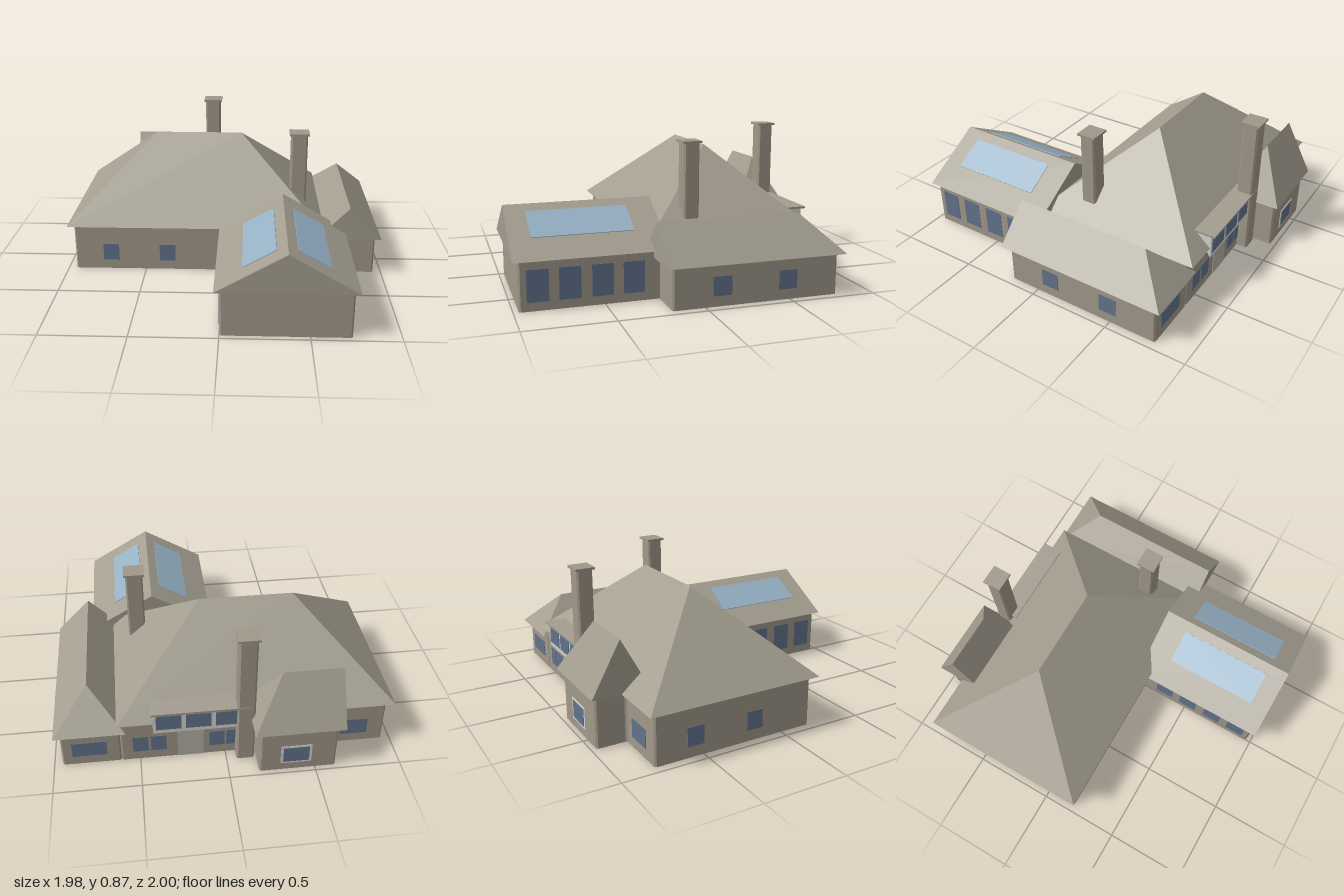
import * as THREE from 'three';

const mat = (name, color, side = THREE.FrontSide) => {
  const m = new THREE.MeshStandardMaterial({ color, side });
  m.name = name;
  return m;
};

// Flat-shaded geometry from triangles and quads given as corner arrays
function faceted(faces) {
  const pos = [];
  for (const f of faces)
    for (let i = 1; i < f.length - 1; i++) pos.push(...f[0], ...f[i], ...f[i + 1]);
  const g = new THREE.BufferGeometry();
  g.setAttribute('position', new THREE.Float32BufferAttribute(pos, 3));
  g.computeVertexNormals();
  return g;
}

// Upright walls along a plan line of [x, z] points, with slightly cut corners
function wallRun(points, y0, y1, closed = false, cut = 0.01) {
  const n = points.length, line = [];
  points.forEach((p, i) => {
    if (!closed && (i === 0 || i === n - 1)) return line.push(p);
    for (const q of [points[(i + n - 1) % n], points[(i + 1) % n]]) {
      const dx = q[0] - p[0], dz = q[1] - p[1], k = cut / Math.hypot(dx, dz);
      line.push([p[0] + dx * k, p[1] + dz * k]);
    }
  });
  if (closed) line.push(line[0]);
  const faces = [];
  for (let i = 0; i < line.length - 1; i++) {
    const [a, b] = [line[i], line[i + 1]];
    faces.push([[a[0], y0, a[1]], [b[0], y0, b[1]], [b[0], y1, b[1]], [a[0], y1, a[1]]]);
  }
  return faceted(faces);
}

const rect = (x0, x1, z0, z1) => [[x0, z1], [x1, z1], [x1, z0], [x0, z0]];

// Closed hip or gable roof; the ridge runs from a to b along the given axis
function roofSolid(x0, x1, z0, z1, y, top, axis, a, b) {
  const c0 = [x0, y, z0], c1 = [x1, y, z0], c2 = [x1, y, z1], c3 = [x0, y, z1];
  const under = [c0, c1, c2, c3];
  if (axis === 'x') {
    const m = (z0 + z1) / 2, A = [a, top, m], B = [b, top, m];
    return faceted([[c3, c2, B, A], [c2, c1, B], [c1, c0, A, B], [c0, c3, A], under]);
  }
  const m = (x0 + x1) / 2, A = [m, top, a], B = [m, top, b];
  return faceted([[c2, c1, A, B], [c1, c0, A], [c0, c3, B, A], [c3, c2, B], under]);
}

export function createModel() {
  const group = new THREE.Group();
  const wall = mat('wall stone', 0xa09889, THREE.DoubleSide);
  const roof = mat('roof taupe', 0xa39d8f);
  const glass = mat('window blue', 0x62738c);
  const sky = mat('skylight blue', 0x95b0c4);
  const white = mat('frame white', 0xd6d5d0);
  const doorGrey = mat('door grey', 0xb5b1aa);

  const add = (name, geo, material) => {
    const m = new THREE.Mesh(geo, material);
    m.name = name;
    group.add(m);
    return m;
  };
  const box = (name, material, w, h, d, x, y, z) => {
    const m = add(name, new THREE.BoxGeometry(w, h, d), material);
    m.position.set(x, y, z);
    return m;
  };
  // Thin plates on walls: facing z or facing x
  const plateZ = (name, material, x, y, z, w, h, t = 0.006) => box(name, material, w, h, t, x, y, z);
  const plateX = (name, material, x, y, z, w, h, t = 0.006) => box(name, material, t, h, w, x, y, z);

  // Walls, open at the bottom
  add('mainWalls', wallRun([[0, 0.19], [-0.95, 0.19], [-0.95, -0.79], [-0.62, -0.79], [-0.62, -0.97],
    [-0.175, -0.97], [-0.175, -0.79], [0.61, -0.79], [0.61, 0.19]], 0, 0.3), wall);
  add('frontWingWalls', wallRun([[0, 0.19], [0, 0.97], [0.73, 0.97], [0.73, 0.19]], 0, 0.28), wall);
  add('sideWingWalls', wallRun(rect(0.61, 0.95, -0.79, 0.19), 0, 0.24, true), wall);

  // Roofs
  add('mainRoof', roofSolid(-0.99, 0.625, -0.83, 0.225, 0.3, 0.77, 'x', -0.46, 0.1), roof);
  add('frontWingRoof', roofSolid(-0.03, 0.76, 0.14, 1.0, 0.28, 0.51, 'z', 0.14, 1.0), roof);
  add('sideWingRoof', roofSolid(0.575, 0.985, -0.83, 0.225, 0.24, 0.45, 'z', -0.62, 0.225), roof);
  add('rearWingRoof', roofSolid(-0.655, -0.14, -1.0, -0.66, 0.3, 0.61, 'x', -0.655, -0.31), roof);

  // Chimneys with flat caps
  for (const [x, z, y0, y1] of [[0.47, -0.07, 0.3, 0.835], [-0.11, -0.81, 0, 0.86]]) {
    add('chimneyShaft', wallRun(rect(x - 0.052, x + 0.052, z - 0.048, z + 0.048), y0, y1, true), wall);
    box('chimneyCap', wall, 0.124, 0.013, 0.116, x, y1 + 0.0065, z);
  }

  // Long rear dormer: wedge body, flat roof and three windows
  const [dx0, dx1] = [-0.1, 0.42];
  const L = [[dx0, 0.385, -0.835], [dx0, 0.235, -0.835], [dx0, 0.385, -0.735]];
  const R = L.map(([, y, z]) => [dx1, y, z]);
  add('dormerBody', faceted([[L[0], L[1], L[2]], [R[0], R[2], R[1]],
    [L[1], L[0], R[0], R[1]], [L[2], L[1], R[1], R[2]], [L[0], L[2], R[2], R[0]]]), white);
  box('dormerRoof', roof, 0.565, 0.012, 0.13, 0.147, 0.391, -0.795);
  for (const x of [-0.01, 0.16, 0.33]) plateZ('dormerWindow', glass, x, 0.312, -0.836, 0.145, 0.1);

  // Front and left windows of the main house
  for (const x of [-0.72, -0.36]) plateZ('frontWindow', glass, x, 0.115, 0.19, 0.1, 0.11);
  for (const z of [-0.55, -0.18]) plateX('leftWindow', glass, -0.95, 0.12, z, 0.1, 0.11);

  // Rear windows and door
  for (const x of [0.495, 0.39, 0.05, -0.05]) plateZ('rearWindow', glass, x, 0.115, -0.79, 0.09, 0.11);
  plateZ('rearDoor', doorGrey, 0.205, 0.11, -0.79, 0.15, 0.22);
  plateZ('rearLeftWindow', glass, -0.77, 0.115, -0.79, 0.16, 0.11);
  plateZ('rearWingFrame', white, -0.385, 0.115, -0.97, 0.18, 0.13);
  plateZ('rearWingWindow', glass, -0.385, 0.115, -0.972, 0.15, 0.105);

  // Side wing windows
  plateZ('sideWingRearWindow', glass, 0.79, 0.11, -0.79, 0.2, 0.1);
  for (const z of [-0.095, -0.485]) plateX('sideWingWindow', glass, 0.95, 0.115, z, 0.11, 0.11);

  // Tall windows on both sides of the front wing
  for (const z of [0.8675, 0.6925, 0.5125, 0.3375])
    for (const x of [0, 0.73]) plateX('tallWindow', glass, x, 0.14, z, 0.12, 0.18);

  // Skylights lying on the two front wing slopes
  const slope = Math.atan2(0.23, 0.395);
  for (const s of [-1, 1]) {
    const light = box('skylight', sky, 0.183 / Math.cos(slope), 0.008, 0.58,
      0.365 + s * 0.15, 0.51 - 0.15 * Math.tan(slope), 0.59);
    light.rotation.z = -s * slope;
  }
  return group;
}
